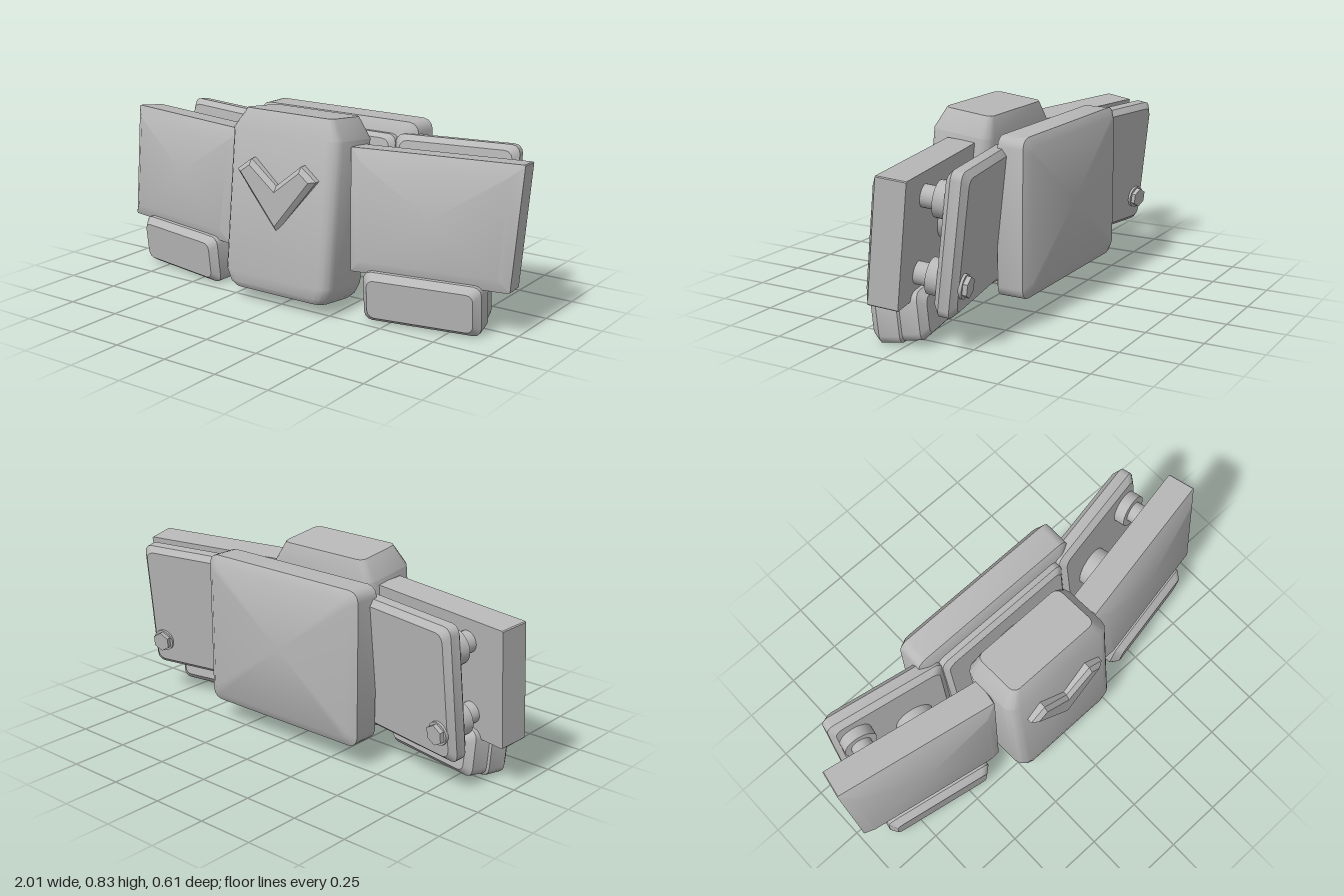
import * as THREE from 'three';
import { toCreasedNormals } from 'three/addons/utils/BufferGeometryUtils.js';

const grey = new THREE.MeshStandardMaterial({ color: 0xb8b8b8 });
grey.name = 'plain grey';
const TILT = -0.11, YAW = 0.186;

// Loft of rounded rectangles along z; sections are [z, halfWidth, halfHeight, cornerRadius]
function slab(sections, segs = 3) {
  const pos = [], idx = [], n = 4 * (segs + 1);
  for (const [z, w, h, r] of sections) {
    for (let q = 0; q < 4; q++) {
      const sx = q === 0 || q === 3 ? 1 : -1, sy = q < 2 ? 1 : -1;
      for (let i = 0; i <= segs; i++) {
        const a = (q + i / segs) * Math.PI / 2;
        pos.push(sx * (w - r) + r * Math.cos(a), sy * (h - r) + r * Math.sin(a), z);
      }
    }
  }
  for (let k = 0; k < sections.length - 1; k++) {
    for (let i = 0; i < n; i++) {
      const a = k * n + i, b = k * n + (i + 1) % n;
      idx.push(a, b, b + n, a, b + n, a + n);
    }
  }
  // end caps
  const last = (sections.length - 1) * n, c = pos.length / 3;
  pos.push(0, 0, sections[0][0], 0, 0, sections[sections.length - 1][0]);
  for (let i = 0; i < n; i++) {
    const j = (i + 1) % n;
    idx.push(c, j, i, c + 1, last + i, last + j);
  }
  const g = new THREE.BufferGeometry();
  g.setAttribute('position', new THREE.Float32BufferAttribute(pos, 3));
  g.setIndex(idx);
  return g;
}

function add(parent, name, geometry, x = 0, y = 0, z = 0) {
  const mesh = new THREE.Mesh(toCreasedNormals(geometry, 0.6), grey);
  mesh.name = name;
  mesh.position.set(x, y, z);
  parent.add(mesh);
  return mesh;
}

// Cylinder along z
function disc(r, depth, sides = 24) {
  return new THREE.CylinderGeometry(r, r, depth, sides).rotateX(Math.PI / 2);
}

function bevelledPlate(w, h, half, bevel, r) {
  return slab([
    [-half, w - bevel, h - bevel, r], [-half + bevel, w, h, r],
    [half - bevel, w, h, r], [half, w - bevel, h - bevel, r],
  ]);
}

// Front panel, narrower at the bottom
function frontPanelGeometry() {
  const g = slab([
    [-0.075, 0.354, 0.258, 0.004], [0.05, 0.354, 0.258, 0.004], [0.078, 0.305, 0.208, 0.004],
  ], 1);
  const p = g.attributes.position;
  for (let i = 0; i < p.count; i++) p.setX(i, p.getX(i) * (1 + 0.14 * p.getY(i)));
  return g;
}

function buildWing(side, name) {
  const wing = new THREE.Group();
  wing.name = name + 'Wing';
  wing.position.set(side * 0.64, 0.45, 0.06);
  wing.rotation.set(TILT, side * YAW, 0, 'YXZ');
  add(wing, 'frontPanel', frontPanelGeometry());
  add(wing, 'rearPanel', bevelledPlate(0.27, 0.29, 0.046, 0.024, 0.035), 0, 0.01, -0.229);

  // standoffs between the two panels
  for (const y of [0.16, -0.15]) {
    add(wing, 'standoffFlange', disc(0.074, 0.055), side * 0.173, y, -0.162);
    add(wing, 'standoffNeck', disc(0.046, 0.08), side * 0.173, y, -0.105);
  }
  add(wing, 'innerStandoff', disc(0.088, 0.12), side * -0.085, 0.01, -0.13);

  // hex nut on the back
  add(wing, 'nutWasher', disc(0.05, 0.014), side * 0.2, -0.155, -0.279);
  add(wing, 'hexNut', disc(0.044, 0.03, 6), side * 0.2, -0.155, -0.29);
  return wing;
}

// Lower pod with a slightly slimmer rear half
function buildPod(side, name) {
  const pod = add(new THREE.Group(), name + 'Pod', slab([
    [-0.115, 0.215, 0.075, 0.03], [-0.085, 0.242, 0.1, 0.035],
    [-0.01, 0.246, 0.102, 0.035], [-0.002, 0.254, 0.108, 0.035],
    [0.085, 0.254, 0.108, 0.035], [0.117, 0.228, 0.083, 0.03],
  ]), side * 0.62, 0.116, 0.07);
  pod.rotation.set(0.1, side * YAW, 0, 'YXZ');
  return pod;
}

export function createModel() {
  const model = new THREE.Group();
  model.name = 'beltAssembly';

  // central block, lofted upwards
  const block = slab([
    [-0.392, 0.235, 0.118, 0.045], [-0.37, 0.258, 0.134, 0.05], [-0.32, 0.276, 0.143, 0.05],
    [0.3, 0.276, 0.143, 0.05], [0.387, 0.222, 0.112, 0.03],
  ]).rotateX(-Math.PI / 2);
  add(model, 'centreBlock', block, 0, 0.43, 0.132).rotation.x = TILT;

  // raised chevron on the block
  const pts = [[-0.175, 0.573], [-0.128, 0.607], [0, 0.506], [0.128, 0.607], [0.175, 0.573], [0, 0.358]];
  const chevron = new THREE.Shape(pts.map(([x, y]) => new THREE.Vector2(x, y)));
  add(model, 'chevron', new THREE.ExtrudeGeometry(chevron, {
    depth: 0.05, bevelThickness: 0.018, bevelSize: 0.02, bevelSegments: 1,
  }), 0, 0, 0.232);

  // rear core and its connector
  add(model, 'rearCore', bevelledPlate(0.335, 0.285, 0.042, 0.02, 0.035), 0, 0.435, -0.105).rotation.x = TILT;
  add(model, 'coreConnector', disc(0.17, 0.1, 32), 0, 0.44, -0.04).rotation.x = TILT;

  // back plate
  add(model, 'backPlate', slab([
    [-0.305, 0.378, 0.295, 0.03], [-0.28, 0.416, 0.335, 0.045],
    [-0.165, 0.416, 0.335, 0.045], [-0.14, 0.378, 0.295, 0.03],
  ]), 0, 0.435, 0);

  for (const [side, name] of [[1, 'left'], [-1, 'right']]) {
    model.add(buildWing(side, name), buildPod(side, name));
  }
  return model;
}
